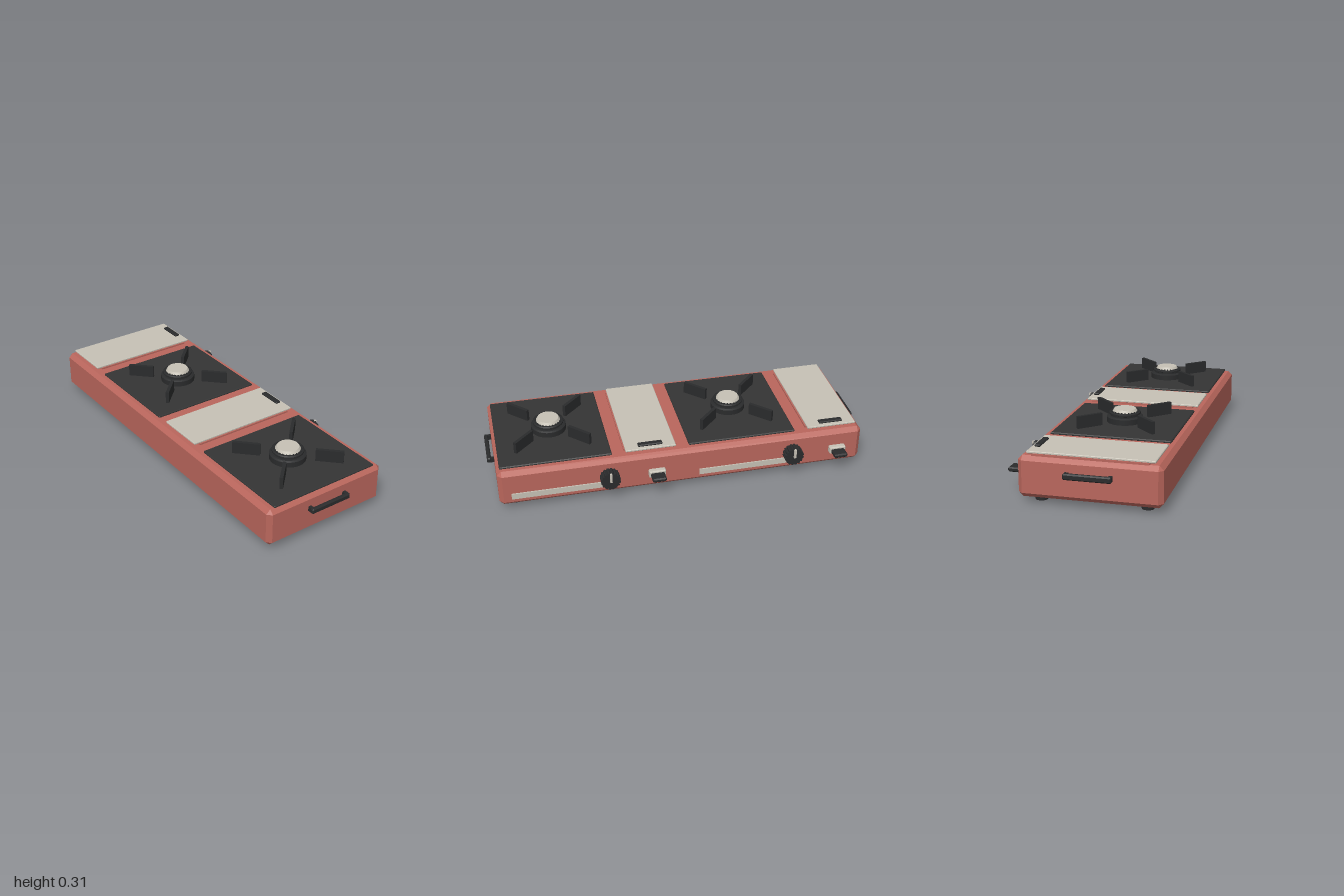
import * as THREE from 'three';
import { ConvexGeometry } from 'three/addons/geometries/ConvexGeometry.js';

function material(name, color) {
  const m = new THREE.MeshStandardMaterial({ color });
  m.name = name;
  return m;
}

export function createModel() {
  const red = material('red enamel', 0xb9665c);
  const cream = material('cream metal', 0xc6c1b5);
  const charcoal = material('charcoal plate', 0x343434);
  const black = material('black plastic', 0x2a2b2c);
  const model = new THREE.Group();
  model.name = 'campStove';
  const CX = -0.042; // centre line of the body

  function add(parent, name, geometry, mat, x, y, z) {
    const mesh = new THREE.Mesh(geometry, mat);
    mesh.name = name;
    mesh.position.set(x, y, z);
    parent.add(mesh);
    return mesh;
  }

  // Box with every edge cut at 45 degrees
  function chamferBox(w, h, d, c) {
    const points = [];
    for (const x of [-1, 1]) for (const y of [-1, 1]) for (const z of [-1, 1]) {
      const a = w / 2, b = h / 2, e = d / 2;
      points.push(
        new THREE.Vector3(x * a, y * (b - c), z * (e - c)),
        new THREE.Vector3(x * (a - c), y * b, z * (e - c)),
        new THREE.Vector3(x * (a - c), y * (b - c), z * e));
    }
    return new ConvexGeometry(points);
  }

  // Lathe with crisp edges: one frustum per profile step
  function turned(parent, name, profile, mat, x, y, z) {
    const group = new THREE.Group();
    group.name = name;
    group.position.set(x, y, z);
    for (let i = 0; i < profile.length - 1; i++) {
      const pair = [profile[i], profile[i + 1]].map(p => new THREE.Vector2(...p));
      add(group, name + 'Band', new THREE.LatheGeometry(pair, 32), mat, 0, 0, 0);
    }
    parent.add(group);
    return group;
  }

  // Body and feet
  add(model, 'body', chamferBox(0.693, 0.202, 1.926, 0.022), red, CX, 0.131, 0);
  for (const x of [-0.3, 0.215]) for (const z of [-0.875, 0.875]) {
    add(model, 'foot', new THREE.CylinderGeometry(0.03, 0.03, 0.034, 24), black, x, 0.017, z);
  }

  // Carrying handles at both ends
  for (const s of [-1, 1]) {
    const handle = new THREE.Group();
    handle.name = 'carryHandle';
    add(handle, 'grip', chamferBox(0.232, 0.03, 0.022, 0.006), black, CX, 0.16, s * 0.989);
    for (const dx of [-0.105, 0.105]) {
      add(handle, 'handlePost', new THREE.BoxGeometry(0.018, 0.024, 0.03), black, CX + dx, 0.16, s * 0.97);
    }
    model.add(handle);
  }

  function burner(z) {
    const g = new THREE.Group();
    g.name = 'burner';
    g.position.set(CX, 0, z);
    add(g, 'burnerPlate', chamferBox(0.608, 0.013, 0.573, 0.004), charcoal, 0, 0.2355, 0);
    turned(g, 'burnerBase', [[0.092, 0.24], [0.092, 0.27], [0.083, 0.275], [0.072, 0.275],
      [0.072, 0.281], [0.08, 0.284], [0.08, 0.292], [0.074, 0.296], [0, 0.296]], black, 0, 0, 0);
    turned(g, 'burnerCap', [[0.064, 0.295], [0.062, 0.299], [0.055, 0.31], [0, 0.31]], cream, 0, 0, 0);
    // Gas ports around the rim
    for (let i = 0; i < 24; i++) {
      const a = i * Math.PI / 12;
      const port = add(g, 'gasPort', new THREE.BoxGeometry(0.008, 0.005, 0.006), black,
        Math.cos(a) * 0.068, 0.2975, Math.sin(a) * 0.068);
      port.rotation.y = -a;
    }
    // Diagonal pan supports
    for (let i = 0; i < 4; i++) {
      const a = Math.PI / 4 + i * Math.PI / 2;
      const blade = add(g, 'panSupport', new THREE.BoxGeometry(0.138, 0.066, 0.017), black,
        Math.cos(a) * 0.205, 0.272, Math.sin(a) * 0.205);
      blade.rotation.y = -a;
    }
    model.add(g);
  }

  function lid(z) {
    const g = new THREE.Group();
    g.name = 'cartridgeLid';
    g.position.set(CX, 0, z);
    add(g, 'lidBase', new THREE.BoxGeometry(0.56, 0.01, 0.278), red, 0, 0.235, 0);
    add(g, 'lidPanel', chamferBox(0.616, 0.012, 0.264, 0.003), cream, 0, 0.244, 0);
    add(g, 'lidPull', chamferBox(0.03, 0.012, 0.128, 0.004), black, 0.277, 0.256, 0);
    model.add(g);
  }

  // Knob outline with shallow flutes
  const outline = new THREE.Shape();
  const count = 48;
  for (let i = 0; i < count; i++) {
    const a = i / count * Math.PI * 2;
    const r = i % 3 === 0 ? 0.045 : 0.051;
    if (i === 0) outline.moveTo(r, 0);
    else outline.lineTo(Math.cos(a) * r, Math.sin(a) * r);
  }
  const knobGeometry = new THREE.ExtrudeGeometry(outline, { depth: 0.05, bevelEnabled: false });
  knobGeometry.rotateY(Math.PI / 2);

  function knob(z) {
    const g = new THREE.Group();
    g.name = 'controlKnob';
    g.position.set(0.304, 0.134, z);
    add(g, 'knobDial', knobGeometry, black, 0, 0, 0);
    add(g, 'knobPointer', new THREE.BoxGeometry(0.012, 0.05, 0.012), cream, 0.054, 0.024, 0);
    model.add(g);
  }

  function lever(z) {
    const g = new THREE.Group();
    g.name = 'cartridgeLever';
    g.position.set(0.304, 0.126, z);
    add(g, 'leverMount', chamferBox(0.032, 0.04, 0.088, 0.005), cream, 0.014, 0, 0);
    add(g, 'leverTab', chamferBox(0.06, 0.023, 0.072, 0.006), black, 0.054, -0.002, 0);
    model.add(g);
  }

  // Two identical cooking units along the body
  for (const z of [0, -0.977]) {
    burner(0.661 + z);
    lid(0.172 + z);
    knob(0.398 + z);
    lever(0.151 + z);
    add(model, 'sideTrim', new THREE.BoxGeometry(0.008, 0.032, 0.52), cream, 0.307, 0.088, 0.641 + z);
  }
  return model;
}
